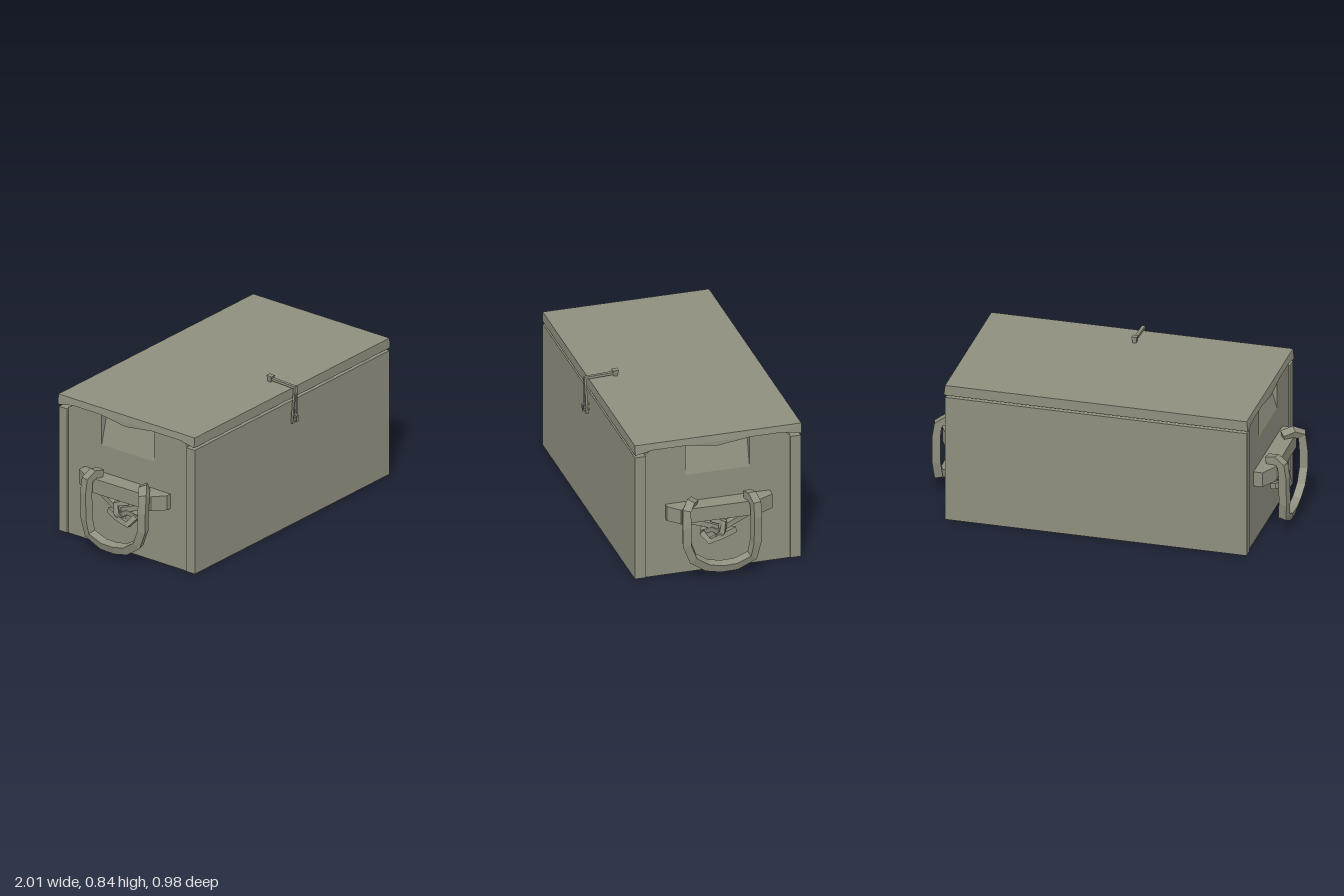
import * as THREE from 'three';

const steel = new THREE.MeshStandardMaterial({ color: 0x8f8f7f });
steel.name = 'olive grey metal';

function mesh(name, geometry) {
  const m = new THREE.Mesh(geometry, steel);
  m.name = name;
  return m;
}

// Box given by its limits on each axis
function block(x0, x1, y0, y1, z0, z1) {
  return new THREE.BoxGeometry(x1 - x0, y1 - y0, z1 - z0)
    .translate((x0 + x1) / 2, (y0 + y1) / 2, (z0 + z1) / 2);
}

function extrude(points, depth) {
  const shape = new THREE.Shape(points.map(p => new THREE.Vector2(p[0], p[1])));
  return new THREE.ExtrudeGeometry(shape, { depth, bevelEnabled: false });
}

// Outline in (z, y), extruded from x0 to x1
function extrudeAlongX(points, x0, x1) {
  return extrude(points.map(([z, y]) => [-z, y]), x1 - x0)
    .rotateY(Math.PI / 2).translate(x0, 0, 0);
}

// Faceted rectangular bar swept along a polyline; sizes are half widths
function sweep(path, wa, wb = wa, taper = () => 1) {
  const pts = path.map(p => new THREE.Vector3(...p));
  const n = pts.length;
  const tangents = pts.map((p, i) => {
    const t = new THREE.Vector3();
    if (i > 0) t.add(p.clone().sub(pts[i - 1]).normalize());
    if (i < n - 1) t.add(pts[i + 1].clone().sub(p).normalize());
    return t.normalize();
  });
  const ref = Math.abs(tangents[0].x) > 0.8 ? new THREE.Vector3(0, 0, 1) : new THREE.Vector3(1, 0, 0);
  const a = ref.addScaledVector(tangents[0], -ref.dot(tangents[0])).normalize();
  const turn = new THREE.Quaternion();
  const rings = pts.map((p, i) => {
    if (i > 0) a.applyQuaternion(turn.setFromUnitVectors(tangents[i - 1], tangents[i]));
    const b = tangents[i].clone().cross(a);
    const k = taper(i / (n - 1));
    return [[1, 1], [-1, 1], [-1, -1], [1, -1]].map(([u, v]) =>
      p.clone().addScaledVector(a, u * wa * k).addScaledVector(b, v * wb * k));
  });
  const out = [];
  const quad = (p, q, r, s) => [p, q, r, p, r, s].forEach(v => out.push(v.x, v.y, v.z));
  for (let i = 0; i < n - 1; i++) {
    for (let k = 0; k < 4; k++) {
      const j = (k + 1) % 4;
      quad(rings[i][k], rings[i][j], rings[i + 1][j], rings[i + 1][k]);
    }
  }
  const [s, e] = [rings[0], rings[n - 1]];
  quad(s[3], s[2], s[1], s[0]);
  quad(e[0], e[1], e[2], e[3]);
  const g = new THREE.BufferGeometry();
  g.setAttribute('position', new THREE.Float32BufferAttribute(out, 3));
  g.computeVertexNormals();
  return g;
}

// Mirror in x, keeping the faces outward
function mirrored(geometry) {
  const g = geometry.index ? geometry.toNonIndexed() : geometry.clone();
  g.scale(-1, 1, 1);
  const p = g.attributes.position;
  const a = new THREE.Vector3(), b = new THREE.Vector3();
  for (let i = 0; i < p.count; i += 3) {
    a.fromBufferAttribute(p, i + 1);
    b.fromBufferAttribute(p, i + 2);
    p.setXYZ(i + 1, b.x, b.y, b.z);
    p.setXYZ(i + 2, a.x, a.y, a.z);
  }
  g.computeVertexNormals();
  return g;
}

// All parts of the +x end
function endParts() {
  const parts = [];
  const add = (name, g) => parts.push([name, g]);

  // End panel with a notch cut in its top edge
  add('endPanel', extrudeAlongX([
    [0.39, 0], [0.39, 0.742], [0.35, 0.768], [0.16, 0.768], [0.16, 0.585],
    [-0.2, 0.585], [-0.2, 0.768], [-0.39, 0.768], [-0.43, 0.742], [-0.43, 0]], 0.775, 0.835));
  // Sloping back of the notch
  add('notchSlope', extrude([[0.775, 0.585], [0.835, 0.585], [0.785, 0.768], [0.775, 0.768]], 0.36)
    .translate(0, 0, -0.2));

  // Bracket bar with slanted ends
  add('handleBracket', extrude([
    [0.83, -0.275], [0.865, -0.275], [0.93, -0.215], [0.935, 0.22], [0.885, 0.315], [0.83, 0.315]], 0.085)
    .rotateX(-Math.PI / 2).translate(0, 0.34, 0));

  // Swinging handle hooked over the bar
  add('handle', sweep([
    [0.875, 0.435, 0.13], [0.925, 0.452, 0.165], [0.965, 0.43, 0.195], [0.975, 0.34, 0.197],
    [0.975, 0.235, 0.195], [0.97, 0.145, 0.16], [0.965, 0.09, 0.08], [0.965, 0.073, 0],
    [0.965, 0.075, -0.085], [0.968, 0.115, -0.175], [0.975, 0.2, -0.192], [0.975, 0.35, -0.196],
    [0.965, 0.425, -0.195], [0.925, 0.452, -0.185], [0.875, 0.44, -0.175]], 0.023));

  // Twisted knot of metal below the bar
  const knot = [
    [[0.85, 0.318, 0.155], [0.885, 0.315, 0.09], [0.905, 0.285, 0.0]],
    [[0.85, 0.312, -0.17], [0.885, 0.298, -0.09], [0.91, 0.27, 0.0]],
    [[0.89, 0.33, 0.03], [0.925, 0.315, -0.03], [0.93, 0.265, -0.02], [0.9, 0.225, 0.0]],
    [[0.9, 0.262, 0.09], [0.925, 0.215, 0.055], [0.92, 0.235, -0.02], [0.885, 0.245, -0.1]],
    [[0.87, 0.255, 0.08], [0.9, 0.28, 0.03], [0.91, 0.25, -0.02]],
    [[0.83, 0.27, 0.01], [0.91, 0.262, 0.005]]];
  knot.forEach(path => add('handleKnot', sweep(path, 0.018, 0.015)));
  return parts;
}

export function createModel() {
  const root = new THREE.Group();
  root.name = 'storageChest';

  // Walls and the raised floor between them
  const body = new THREE.Group();
  body.name = 'body';
  body.add(
    mesh('frontPanel', block(-0.845, 0.845, 0.003, 0.735, 0.39, 0.45)),
    mesh('backPanel', block(-0.845, 0.845, 0.003, 0.735, -0.487, -0.43)),
    mesh('innerBox', block(-0.776, 0.776, 0.02, 0.762, -0.431, 0.391)));
  root.add(body);

  // Lid with a waved lower edge, a little wider below than on top
  const lid = extrudeAlongX([
    [0.45, 0.75], [0.45, 0.808], [-0.49, 0.808], [-0.49, 0.75], [-0.385, 0.77],
    [-0.2, 0.77], [-0.02, 0.745], [0.16, 0.77], [0.35, 0.77]], -0.845, 0.845);
  const p = lid.attributes.position;
  for (let i = 0; i < p.count; i++) if (p.getY(i) < 0.8) p.setX(i, p.getX(i) * 1.008);
  lid.computeVertexNormals();
  root.add(mesh('lid', lid));

  // Matching ends
  const leftEnd = new THREE.Group(), rightEnd = new THREE.Group();
  leftEnd.name = 'leftEnd';
  rightEnd.name = 'rightEnd';
  for (const [name, g] of endParts()) {
    leftEnd.add(mesh(name, g));
    rightEnd.add(mesh(name, mirrored(g)));
  }
  root.add(leftEnd, rightEnd);

  // Wire latch: arm over the lid, two spread legs and a staple
  const latch = new THREE.Group();
  latch.name = 'latch';
  latch.add(
    mesh('latchArm', sweep([[0, 0.824, 0.31], [0, 0.818, 0.475]], 0.009, 0.007)),
    mesh('latchPin', sweep([[0, 0.806, 0.3], [0, 0.843, 0.302]], 0.012, 0.013, t => 0.8 + 0.5 * t)));
  for (const s of [-1, 1]) {
    latch.add(mesh('latchLeg', sweep([[s * 0.004, 0.824, 0.472], [s * 0.019, 0.61, 0.466]], 0.005, 0.006)));
  }
  latch.add(
    mesh('latchFoot', sweep([[-0.023, 0.617, 0.466], [0.023, 0.617, 0.466]], 0.005)),
    mesh('latchStaple', sweep([
      [0, 0.66, 0.448], [0, 0.657, 0.486], [0, 0.624, 0.484], [0, 0.628, 0.448]], 0.008, 0.004)));
  root.add(latch);

  return root;
}
